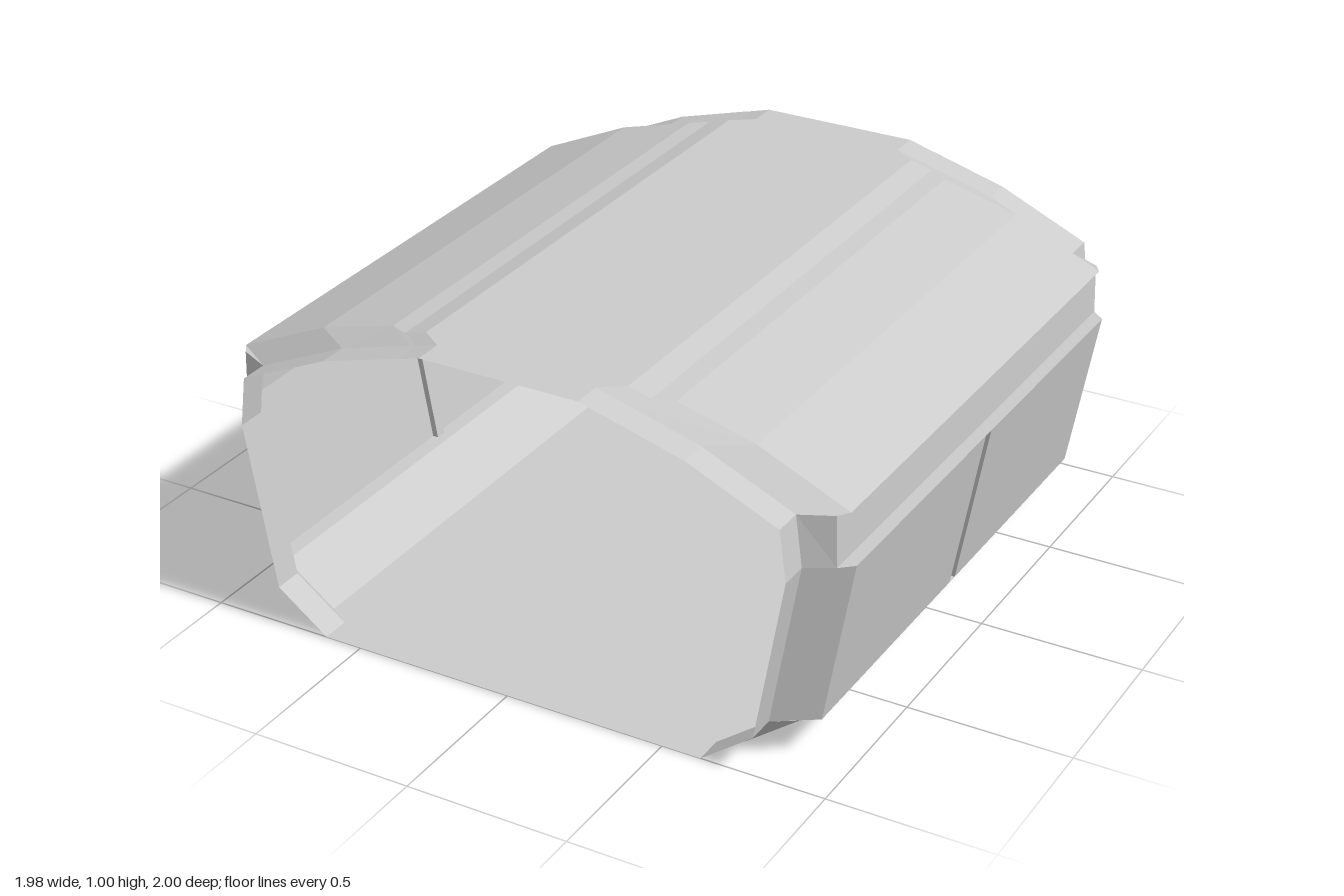
import * as THREE from 'three';

// Half profile from the crown down to the floor:
// [rim x, rim y, body x, body y, z where the body begins]
const PROFILE = [
  [0.25, 1, 0.25, 1, 0.91],
  [0.25, 1, 0.32, 1, 0.86],
  [0.32, 0.98, 0.39, 0.98, 0.86],
  [0.34, 0.975, 0.45, 0.975, 0.83],
  [0.57, 0.91, 0.69, 0.91, 0.83],
  [0.85, 0.785, 0.97, 0.785, 0.83],
  [0.85, 0.785, 0.945, 0.785, 0.865],
  [0.87, 0.63, 0.95, 0.63, 0.865],
  [0.87, 0.63, 0.99, 0.63, 0.83],
  [0.78, 0.12, 0.9, 0.12, 0.83],
  [0.78, 0.12, 0.85, 0.12, 0.865],
  [0.62, 0, 0.69, 0, 0.865],
];
const RIM_Z = 0.91, END_Z = 1;
const SEAM = { half: 0.018, depth: 0.018 };

const mirror = ([rx, ry, bx, by, z]) => [-rx, ry, -bx, by, z];

// Points along the tunnel for one profile corner, front to back
function stations([rx, ry, bx, by, z], seam) {
  const front = [[rx, ry, END_Z], [rx, ry, RIM_Z], [bx, by, z]];
  const back = front.map(([x, y, d]) => [x, y, -d]).reverse();
  const inset = bx - Math.sign(bx) * SEAM.depth;
  const groove = seam ? [
    [bx, by, SEAM.half], [inset, by, SEAM.half],
    [inset, by, -SEAM.half], [bx, by, -SEAM.half],
  ] : [];
  return [...front, ...groove, ...back];
}

// Flat-shaded strip of quads between neighbouring profile corners
function strip(name, corners, material, seam = false) {
  const positions = [];
  for (let i = 0; i < corners.length - 1; i++) {
    const a = stations(corners[i], seam);
    const b = stations(corners[i + 1], seam);
    for (let j = 0; j < a.length - 1; j++) {
      positions.push(...a[j], ...b[j], ...b[j + 1], ...a[j], ...b[j + 1], ...a[j + 1]);
    }
  }
  const geometry = new THREE.BufferGeometry();
  geometry.setAttribute('position', new THREE.Float32BufferAttribute(positions, 3));
  geometry.computeVertexNormals();
  const mesh = new THREE.Mesh(geometry, material);
  mesh.name = name;
  return mesh;
}

export function createModel() {
  const group = new THREE.Group();
  group.name = 'tunnelSection';
  const material = new THREE.MeshStandardMaterial({
    color: 0xcccccc, flatShading: true, side: THREE.DoubleSide,
  });

  // Parts of each side: [name, first corner, last corner, grooved seam]
  const parts = [
    ['RoofSlope', 0, 5, false],
    ['EaveUnderside', 5, 6, false],
    ['UpperBand', 6, 7, false],
    ['PanelLedge', 7, 8, false],
    ['WallPanel', 8, 9, true],
    ['PanelUnderside', 9, 10, false],
    ['LowerSlope', 10, 11, false],
  ];
  for (const [name, first, last, seam] of parts) {
    const corners = PROFILE.slice(first, last + 1);
    group.add(strip('left' + name, corners, material, seam));
    group.add(strip('right' + name, corners.map(mirror).reverse(), material, seam));
  }

  // Flat crown and floor join the two sides
  const crown = PROFILE[0], base = PROFILE[PROFILE.length - 1];
  group.add(strip('roofCrown', [mirror(crown), crown], material));
  group.add(strip('floor', [base, mirror(base)], material));
  return group;
}
